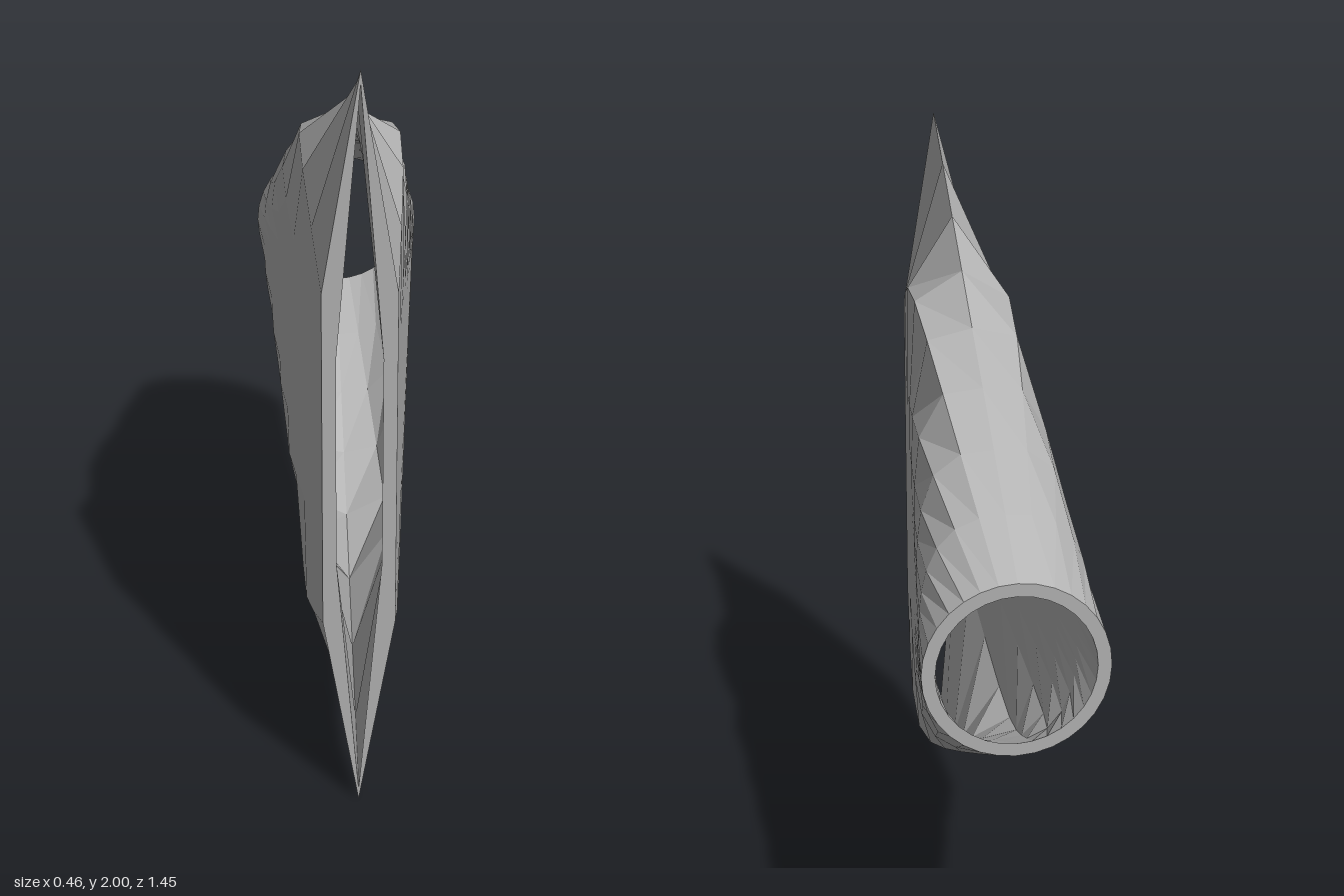
import * as THREE from 'three';

const SIDES = 32, STEPS = 8, LENGTH = 1.45, WALL = 0.034;

// Cross-section at t (0 = tall slot at the front, 1 = round port at the back):
// a superellipse sampled at equal angles, squarish at the front, circular at the back.
function ring(t, inset) {
  const halfW = THREE.MathUtils.lerp(0.09, 0.232, t) - inset;
  const halfH = THREE.MathUtils.lerp(1, 0.232, t) - inset;
  const n = 8 - 6 * t;
  return Array.from({ length: SIDES }, (_, i) => {
    const a = (i / SIDES) * Math.PI * 2, c = Math.cos(a), s = Math.sin(a);
    const r = (Math.abs(c / halfW) ** n + Math.abs(s / halfH) ** n) ** (-1 / n);
    return new THREE.Vector3(r * c, 1 + r * s, LENGTH * (0.5 - t));
  });
}

// Faceted skin joining successive rings; flip chooses the other quad diagonal.
function loft(rings, flip = false) {
  const points = [];
  for (let k = 0; k < rings.length - 1; k++) {
    for (let i = 0; i < SIDES; i++) {
      const j = (i + 1) % SIDES;
      const a = rings[k][i], b = rings[k][j], c = rings[k + 1][j], d = rings[k + 1][i];
      if (flip) points.push(a, d, b, b, d, c);
      else points.push(a, c, b, a, d, c);
    }
  }
  const geometry = new THREE.BufferGeometry().setFromPoints(points);
  geometry.computeVertexNormals();
  return geometry;
}

export function createModel() {
  const group = new THREE.Group();
  group.name = 'slotNozzle';
  const grey = new THREE.MeshStandardMaterial({ color: 0xb0b0b0 });
  grey.name = 'plainGrey';

  const add = (name, geometry) => {
    const mesh = new THREE.Mesh(geometry, grey);
    mesh.name = name;
    group.add(mesh);
  };

  const rings = inset => Array.from({ length: STEPS + 1 }, (_, k) => ring(k / STEPS, inset));
  const outer = rings(0), inner = rings(WALL);

  add('outerShell', loft(outer));
  add('innerDuct', loft([...inner].reverse(), true));
  add('slotRim', loft([inner[0], outer[0]]));
  add('roundRim', loft([outer[STEPS], inner[STEPS]]));
  return group;
}
